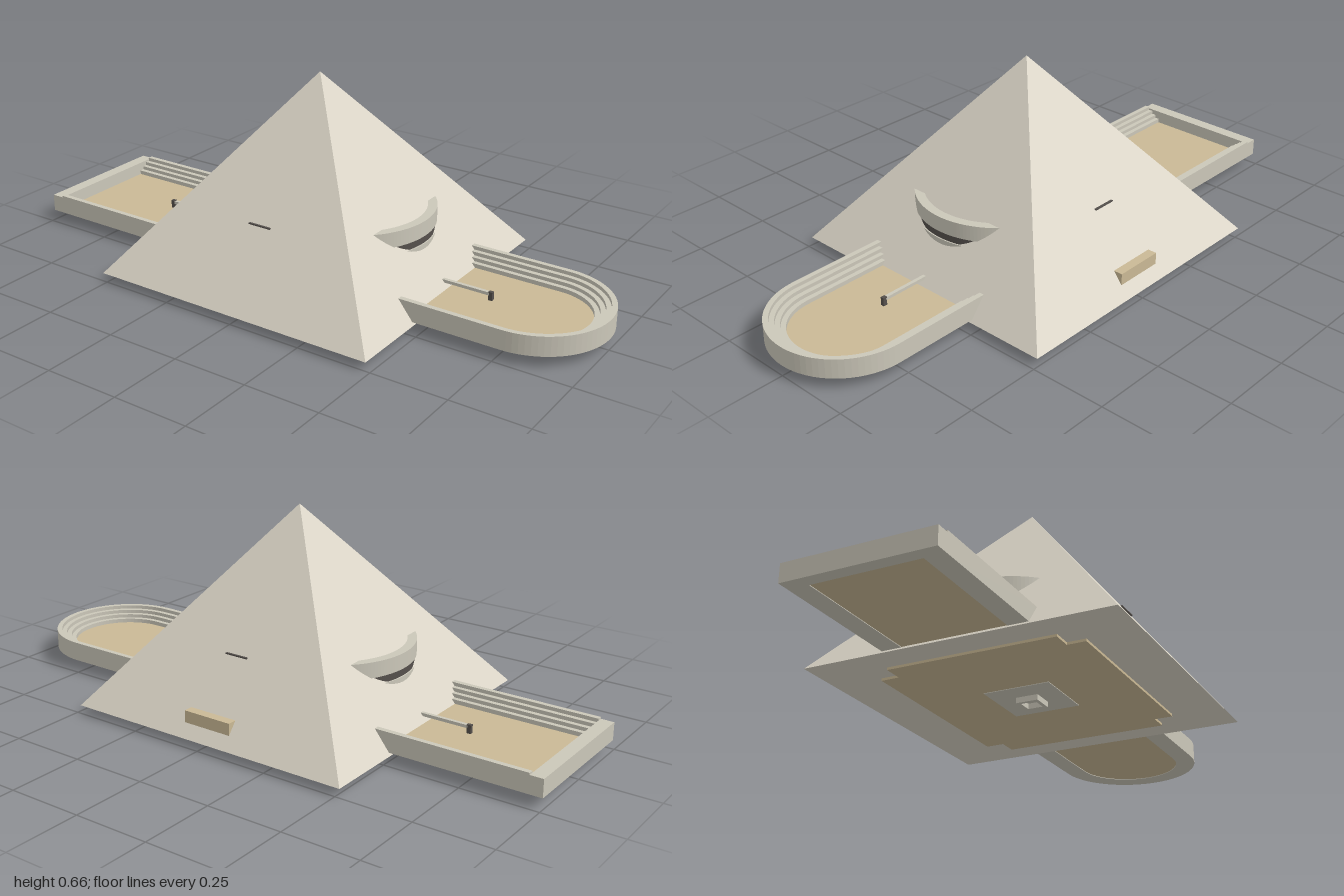
import * as THREE from 'three';

const mat = (color) => new THREE.MeshStandardMaterial({ color, flatShading: true });
const CX = -0.015; // pyramid axis

export function createModel() {
  const root = new THREE.Group();
  const stone = mat(0xdad4c6), wall = mat(0xcbc7b9), sand = mat(0xcab995), dark = mat(0x55504c);

  const add = (name, geo, material, parent = root) => {
    const mesh = new THREE.Mesh(geo, material);
    mesh.name = name;
    parent.add(mesh);
    return mesh;
  };
  // box from its min and max corners
  const box = (name, material, x0, x1, y0, y1, z0, z1, parent = root) => {
    const mesh = add(name, new THREE.BoxGeometry(x1 - x0, y1 - y0, z1 - z0), material, parent);
    mesh.position.set((x0 + x1) / 2, (y0 + y1) / 2, (z0 + z1) / 2);
    return mesh;
  };
  // plan outline raised from y0 to y1
  const slab = (name, material, shape, y0, y1, parent = root) => {
    const geo = new THREE.ExtrudeGeometry(shape, { depth: y1 - y0, bevelEnabled: false, curveSegments: 20 });
    geo.rotateX(-Math.PI / 2).translate(0, y0, 0);
    return add(name, geo, material, parent);
  };

  // main pyramid
  const cone = new THREE.ConeGeometry(Math.SQRT1_2, 0.635, 4).rotateY(Math.PI / 4);
  add('pyramid', cone, stone).position.set(CX, 0.028 + 0.635 / 2, 0);

  // underside: notched floor plate, hatch pad and hollow shaft
  const plate = new THREE.Shape();
  const a = 0.4, b = 0.335, c = 0.275;
  [[-a, -c], [-b, -c], [-b, -b], [b, -b], [b, -c], [a, -c], [a, c], [b, c], [b, b], [-b, b], [-b, c], [-a, c]]
    .forEach(([x, y], i) => (i ? plate.lineTo(x + CX, y) : plate.moveTo(x + CX, y)));
  slab('basePlate', sand, plate, 0.02, 0.032);
  box('hatchPad', wall, CX - 0.11, CX + 0.11, 0.018, 0.03, -0.11, 0.11);
  const square = (P, h) => new P([[-h, -h], [h, -h], [h, h], [-h, h]].map(([x, y]) => new THREE.Vector2(x + CX, y)));
  const shaft = square(THREE.Shape, 0.037);
  shaft.holes.push(square(THREE.Path, 0.025));
  slab('shaft', wall, shaft, 0, 0.02);

  // stepped terraces, outermost tier highest
  const radii = [0.235, 0.218, 0.202, 0.186, 0.17];
  const tops = [0.1, 0.088, 0.076, 0.064];
  const START = 0.41, ARC = 0.765, Y0 = 0.036;

  // rounded court on the left
  const round = new THREE.Group();
  round.name = 'roundCourt';
  root.add(round);
  const outline = (r) => new THREE.Shape().moveTo(START, -r).lineTo(ARC, -r)
    .absarc(ARC, 0, r, -Math.PI / 2, Math.PI / 2, false).lineTo(START, r);
  tops.forEach((top, i) => {
    const r = radii[i + 1];
    const tier = outline(radii[i]);
    tier.lineTo(START, r).lineTo(ARC, r).absarc(ARC, 0, r, Math.PI / 2, -Math.PI / 2, true).lineTo(START, -r);
    slab('roundTier', wall, tier, Y0, top, round);
  });
  slab('roundFloor', sand, outline(radii[4]), Y0 + 0.002, 0.05, round);

  // straight court on the right
  const straight = new THREE.Group();
  straight.name = 'straightCourt';
  root.add(straight);
  for (const s of [-1, 1]) {
    tops.forEach((top, i) => {
      const z = [s * radii[i], s * radii[i + 1]].sort((p, q) => p - q);
      box('straightTier', wall, -0.957, -0.44, Y0, top, z[0], z[1], straight);
    });
  }
  box('endWall', wall, -1, -0.957, Y0, 0.094, -0.235, 0.235, straight);
  box('straightFloor', sand, -0.957, -0.44, Y0 + 0.002, 0.05, -0.17, 0.17, straight);

  // mirrored side details: curved balconies and a rail in each court
  const sector = (ro, ri) => new THREE.Shape()
    .absarc(0.127, 0, ro, -0.85, 0.85, false).absarc(0.127, 0, ri, 0.85, -0.85, true);
  for (const turn of [0, Math.PI]) {
    const side = new THREE.Group();
    side.name = turn ? 'rightSide' : 'leftSide';
    side.position.x = CX;
    side.rotation.y = turn;
    root.add(side);
    slab('balconyParapet', wall, sector(0.268, 0.238), 0.204, 0.255, side);
    slab('balconyWindow', dark, sector(0.264, 0.238), 0.179, 0.204, side);
    slab('balconySill', wall, sector(0.268, 0.238), 0.15, 0.179, side);
    box('courtRail', wall, 0.42, 0.625, 0.066, 0.076, -0.006, 0.006, side);
    box('railPost', dark, 0.622, 0.636, 0.045, 0.078, -0.006, 0.006, side);
  }

  // thin vent slits, front and back
  for (const s of [-1, 1]) {
    box('ventSlit', dark, CX - 0.04, CX + 0.04, 0.253, 0.257, s * 0.314 - 0.013, s * 0.314 + 0.013);
  }

  // entrance block at the back
  box('entranceBlock', sand, CX - 0.085, CX + 0.085, 0.064, 0.105, -0.47, -0.42);

  return root;
}
